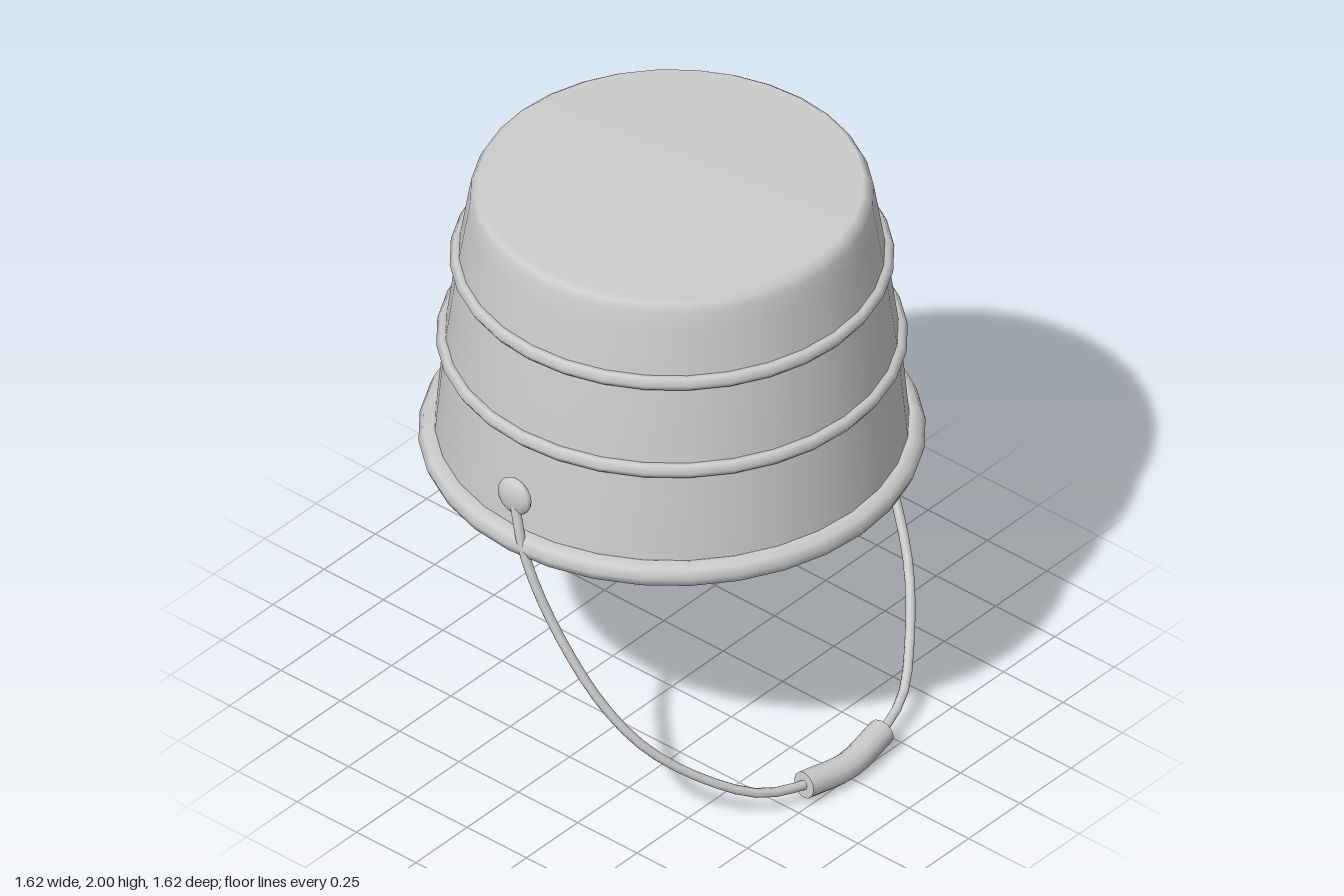
import * as THREE from 'three';

export function createModel() {
  const model = new THREE.Group();
  model.name = 'upturnedBucket';
  const metal = new THREE.MeshStandardMaterial({ color: 0xcccccc });
  metal.name = 'grey metal';
  const SIDES = 32;

  const add = (name, geometry, x = 0, y = 0, z = 0) => {
    const mesh = new THREE.Mesh(geometry, metal);
    mesh.name = name;
    mesh.position.set(x, y, z);
    model.add(mesh);
    return mesh;
  };

  // Tapered wall flowing over a soft shoulder into the flat base on top
  const profile = [
    [0.762, 1.02], [0.727, 1.4], [0.685, 1.715], [0.655, 1.9],
    [0.645, 1.96], [0.632, 1.985], [0.612, 2], [0, 2],
  ].map(([r, y]) => new THREE.Vector2(r, y));
  add('bucketBody', new THREE.LatheGeometry(profile, SIDES));

  // Closed underside
  add('underside', new THREE.CircleGeometry(0.755, SIDES).rotateX(Math.PI / 2), 0, 1.02, 0);

  // Rolled rim and raised ribs
  const ring = (name, radius, tube, y, sides) =>
    add(name, new THREE.TorusGeometry(radius, tube, sides, SIDES).rotateX(Math.PI / 2), 0, y, 0);
  ring('rim', 0.767, 0.044, 1.022, 8);
  ring('lowerRib', 0.727, 0.027, 1.4, 6);
  ring('upperRib', 0.684, 0.027, 1.715, 6);

  // Flattened rivets that hold the handle
  for (const side of [1, -1]) {
    const rivet = add(side > 0 ? 'frontRivet' : 'backRivet',
      new THREE.SphereGeometry(0.067, 16, 10), 0, 1.19, side * 0.768);
    rivet.scale.z = 0.42;
  }

  // Wire handle swung to one side, mirrored front to back
  const half = [
    [0, 1.2, 0.775], [0.06, 1.0, 0.79], [0.16, 0.77, 0.772], [0.32, 0.5, 0.72],
    [0.445, 0.33, 0.64], [0.57, 0.19, 0.5], [0.67, 0.1, 0.35], [0.72, 0.067, 0.19],
  ].map((p) => new THREE.Vector3(...p));
  const middle = new THREE.Vector3(0.742, 0.05, 0);
  const mirrored = half.map((p) => new THREE.Vector3(p.x, p.y, -p.z)).reverse();
  const wire = new THREE.CatmullRomCurve3([...half, middle, ...mirrored]);
  add('handleWire', new THREE.TubeGeometry(wire, 48, 0.016, 8));

  // Bent tubular grip with closed ends
  const grip = new THREE.CatmullRomCurve3([half[7], middle, mirrored[0]]);
  add('handleGrip', new THREE.TubeGeometry(grip, 8, 0.046, 12));
  for (const t of [0, 1]) {
    const p = grip.getPoint(t);
    const out = grip.getTangent(t).multiplyScalar(t ? 1 : -1);
    const cap = add('gripEnd', new THREE.CircleGeometry(0.046, 12), p.x, p.y, p.z);
    cap.quaternion.setFromUnitVectors(new THREE.Vector3(0, 0, 1), out);
  }

  return model;
}
